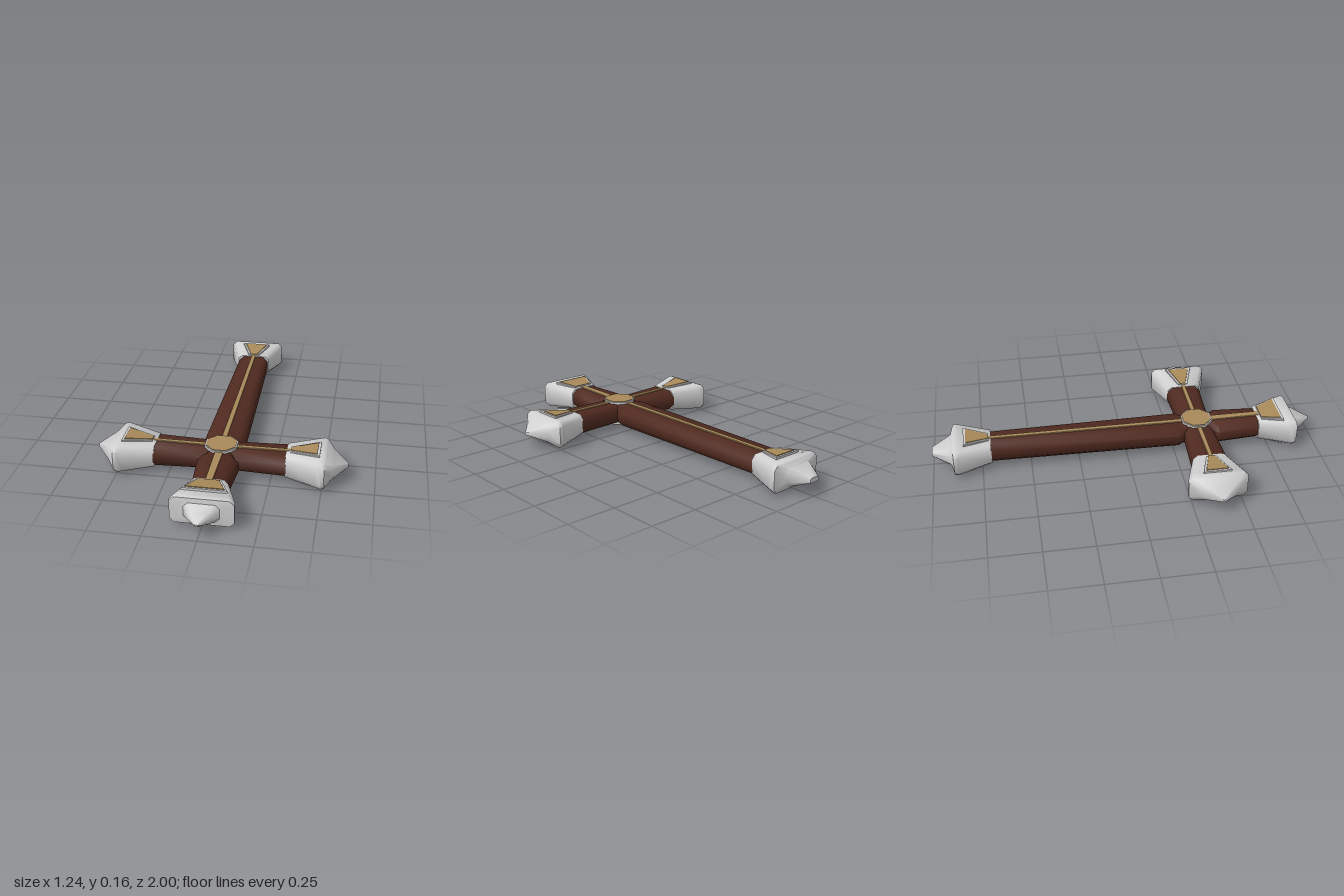
import * as THREE from 'three';
import { toCreasedNormals } from 'three/addons/utils/BufferGeometryUtils.js';

const CENTER_Y = 0.086, CENTER_Z = 0.38;

// Loft of chamfered rectangles along +z; section = [z, halfWidth, halfHeight, centerY]
function loft(sections, chamfer, crease) {
  const pos = [], idx = [];
  for (const [z, w, h, cy = 0] of sections) {
    const c = Math.min(chamfer, w * 0.6, h * 0.6);
    const ring = [[w, -h + c], [w, h - c], [w - c, h], [-w + c, h],
      [-w, h - c], [-w, -h + c], [-w + c, -h], [w - c, -h]];
    for (const [x, y] of ring) pos.push(x, y + cy, z);
  }
  const last = (sections.length - 1) * 8;
  for (let r = 0; r < last; r += 8) {
    for (let i = 0; i < 8; i++) {
      const j = (i + 1) % 8;
      idx.push(r + i, r + j, r + 8 + j, r + i, r + 8 + j, r + 8 + i);
    }
  }
  for (let i = 1; i < 7; i++) {
    idx.push(0, i + 1, i, last, last + i, last + i + 1);
  }
  const g = new THREE.BufferGeometry();
  g.setAttribute('position', new THREE.Float32BufferAttribute(pos, 3));
  g.setIndex(idx);
  return toCreasedNormals(g, crease);
}

export function createModel() {
  const mat = (name, color) => {
    const m = new THREE.MeshStandardMaterial({ color });
    m.name = name;
    return m;
  };
  const wood = mat('dark wood', 0x502a20);
  const silver = mat('silver', 0xcfcfcf);
  const gold = mat('gold', 0xa88a5a);

  const model = new THREE.Group();
  model.name = 'cross';
  const add = (parent, name, geometry, material) => {
    const mesh = new THREE.Mesh(geometry, material);
    mesh.name = name;
    parent.add(mesh);
    return mesh;
  };

  // One arm pointing along local +z, from the crossing to its tip
  function arm(name, angle, o) {
    const g = new THREE.Group();
    g.name = name;
    g.position.set(0, CENTER_Y, CENTER_Z);
    g.rotation.y = angle;
    const t = o.tip, start = t - 0.3;
    add(g, 'woodBeam', loft(o.wood, 0.028, 0.95), wood);

    // Flared metal end with a pointed tip
    add(g, 'metalCap', loft([
      [start, 0.088, 0.056],
      [t - 0.15, 0.14, 0.068],
      [t - 0.125, 0.148, 0.07],
      [t - 0.11, 0.147, 0.066],
      ...o.point.map(([d, w, h]) => [t + d, w, h]),
    ], 0.02, 0.85), silver);

    // Raised frame and inlay on both faces
    const [d0, d1, w0, w1] = o.inlay;
    for (const s of [1, -1]) {
      add(g, 'inlayFrame', loft([
        [start + d0, w0 + 0.012, 0.01, s * 0.053],
        [start + d1 + 0.012, w1 + 0.016, 0.01, s * 0.068],
      ], 0.002, 0.4), silver);
      add(g, 'goldInlay', loft([
        [start + d0, w0, 0.004, s * 0.062],
        [start + d1, w1, 0.004, s * 0.0765],
      ], 0.001, 0.4), gold);
    }

    // Gold line along the upper face
    add(g, 'goldLine', loft([
      [0.05, o.line, 0.004, 0.053],
      [start + 0.015, o.line * 0.85, 0.004, 0.055],
    ], 0.001, 0.4), gold);
    model.add(g);
  }

  const shortPoint = [[-0.105, 0.082, 0.044], [-0.06, 0.055, 0.028], [0, 0.006, 0.005]];
  const sidePoint = [[-0.075, 0.1, 0.04], [0, 0.008, 0.006]];

  arm('frontArm', 0, {
    tip: 0.62, point: shortPoint, inlay: [0.02, 0.115, 0.05, 0.09], line: 0.02,
    wood: [[0, 0.075, 0.052], [0.08, 0.08, 0.052], [0.105, 0.1, 0.052], [0.33, 0.082, 0.053]],
  });
  arm('longArm', Math.PI, {
    tip: 1.38, point: [[-0.095, 0.09, 0.045], [0, 0.03, 0.012]],
    inlay: [0.01, 0.125, 0.018, 0.062], line: 0.013,
    wood: [[0, 0.075, 0.052], [0.08, 0.08, 0.052], [0.105, 0.1, 0.052], [1.1, 0.083, 0.053]],
  });
  for (const s of [1, -1]) {
    arm(s > 0 ? 'leftArm' : 'rightArm', s * Math.PI / 2, {
      tip: 0.62, point: sidePoint, inlay: [0.02, 0.15, 0.015, 0.056], line: 0.012,
      wood: [[0, 0.075, 0.052], [0.08, 0.078, 0.052], [0.33, 0.09, 0.053]],
    });
  }

  // Octagonal boss on both faces of the crossing
  for (const s of [1, -1]) {
    const rim = add(model, 'bossRim', new THREE.CylinderGeometry(0.085, 0.085, 0.02, 8), silver);
    rim.position.set(0, CENTER_Y + s * 0.053, CENTER_Z);
    rim.rotation.y = Math.PI / 8;
    const plate = add(model, 'bossPlate', new THREE.CylinderGeometry(0.078, 0.078, 0.008, 8), gold);
    plate.position.set(0, CENTER_Y + s * 0.062, CENTER_Z);
    plate.rotation.y = Math.PI / 8;
  }
  return model;
}
